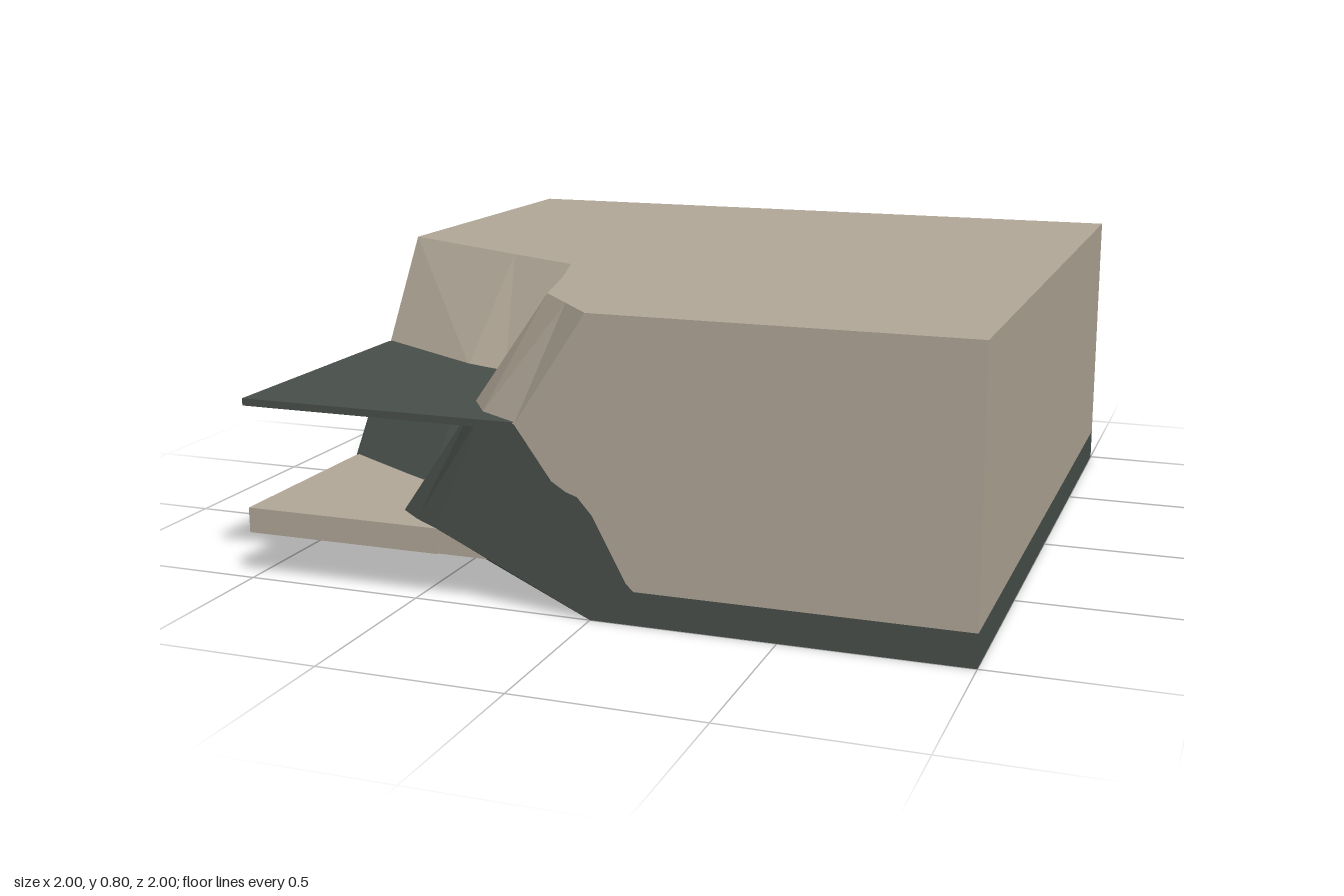
import * as THREE from 'three';

const rock = new THREE.MeshStandardMaterial({ color: 0xb3a999, side: THREE.DoubleSide, flatShading: true });
rock.name = 'tan rock';
const moss = new THREE.MeshStandardMaterial({ color: 0x49504b, side: THREE.DoubleSide, flatShading: true });
moss.name = 'dark grey green';

// Cliff outlines [x, z] at each level, running from the left edge to the front edge
const RIM = [[-1, 0], [-0.56, 0.22], [-0.33, 0.33], [-0.26, 0.55], [-0.2, 0.78], [-0.1, 0.89], [0, 1]];
const LEDGE = [[-1, 0.2], [-0.62, 0.42], [-0.48, 0.47], [-0.46, 0.58], [-0.4, 0.82], [-0.33, 0.92], [-0.2, 1]];
const FOOT = [[-1, 0.42], [-0.76, 0.56], [-0.65, 0.62], [-0.63, 0.73], [-0.59, 0.88], [-0.52, 0.94], [-0.43, 1]];

// Wavy border between rock and dark base on the two cut walls
const BORDER = [[-0.2, 0.5], [-0.1, 0.36], [-0.06, 0.335], [-0.03, 0.325], [0.01, 0.28], [0.1, 0.11], [0.12, 0.09]];

const shapeOf = (points) => new THREE.Shape(points.map(([x, y]) => new THREE.Vector2(x, y)));

function createModel() {
  const group = new THREE.Group();
  const add = (name, geometry, material) => {
    const mesh = new THREE.Mesh(geometry, material);
    mesh.name = name;
    group.add(mesh);
    return mesh;
  };

  // Faceted strip between two outlines
  const cliff = (name, upper, yUpper, lower, yLower, material) => {
    const v = [];
    for (let i = 0; i < upper.length - 1; i++) {
      const a = [upper[i][0], yUpper, upper[i][1]];
      const b = [lower[i][0], yLower, lower[i][1]];
      const c = [lower[i + 1][0], yLower, lower[i + 1][1]];
      const d = [upper[i + 1][0], yUpper, upper[i + 1][1]];
      v.push(...a, ...b, ...c, ...a, ...c, ...d);
    }
    const geometry = new THREE.BufferGeometry();
    geometry.setAttribute('position', new THREE.Float32BufferAttribute(v, 3));
    geometry.computeVertexNormals();
    add(name, geometry, material);
  };
  cliff('upperCliff', RIM, 0.8, LEDGE, 0.5, rock);
  cliff('lowerCliff', LEDGE, 0.5, FOOT, 0.2, moss);
  cliff('cliffUndercut', FOOT, 0.2, RIM, 0, moss);

  // Flat plateau on top
  const top = [...RIM, [1, 1], [1, -1], [-1, -1]].map(([x, z]) => [x, -z]);
  add('plateau', new THREE.ShapeGeometry(shapeOf(top)).rotateX(-Math.PI / 2).translate(0, 0.8, 0), rock);

  // Outer walls, each turned to its own side
  const wall = (name, points, material, angle) =>
    add(name, new THREE.ShapeGeometry(shapeOf(points)).translate(0, 0, 1).rotateY(angle), material);
  const cutRock = [[0, 0.8], ...BORDER, [1, 0.09], [1, 0.8]];
  const cutBase = [...BORDER, [1, 0.09], [1, 0], [0, 0], [-0.43, 0.2]];
  const mirror = (points) => points.map(([u, y]) => [-u, y]);
  wall('frontWall', cutRock, rock, 0);
  wall('frontBase', cutBase, moss, 0);
  wall('rightWall', mirror(cutRock), rock, -Math.PI / 2);
  wall('rightBase', mirror(cutBase), moss, -Math.PI / 2);
  for (const [side, angle] of [['left', Math.PI / 2], ['back', Math.PI]]) {
    wall(side + 'Wall', [[-1, 0.09], [1, 0.09], [1, 0.8], [-1, 0.8]], rock, angle);
    wall(side + 'Base', [[-1, 0], [1, 0], [1, 0.09], [-1, 0.09]], moss, angle);
  }

  // Floors reaching into the open corner, kept just inside the walls elsewhere
  const floor = (name, reach, yTop, depth, material) => {
    const e = 0.995;
    const outline = [[-1, 1], [-reach, 1], [-reach, e], [e, e], [e, -e], [-e, -e], [-e, reach], [-1, reach]];
    const geometry = new THREE.ExtrudeGeometry(shapeOf(outline), { depth, bevelEnabled: false });
    add(name, geometry.rotateX(Math.PI / 2).translate(0, yTop, 0), material);
  };
  floor('upperFloor', 0.21, 0.505, 0.02, moss);
  floor('lowerFloor', 0.43, 0.2, 0.07, rock);

  return group;
}

export { createModel };
